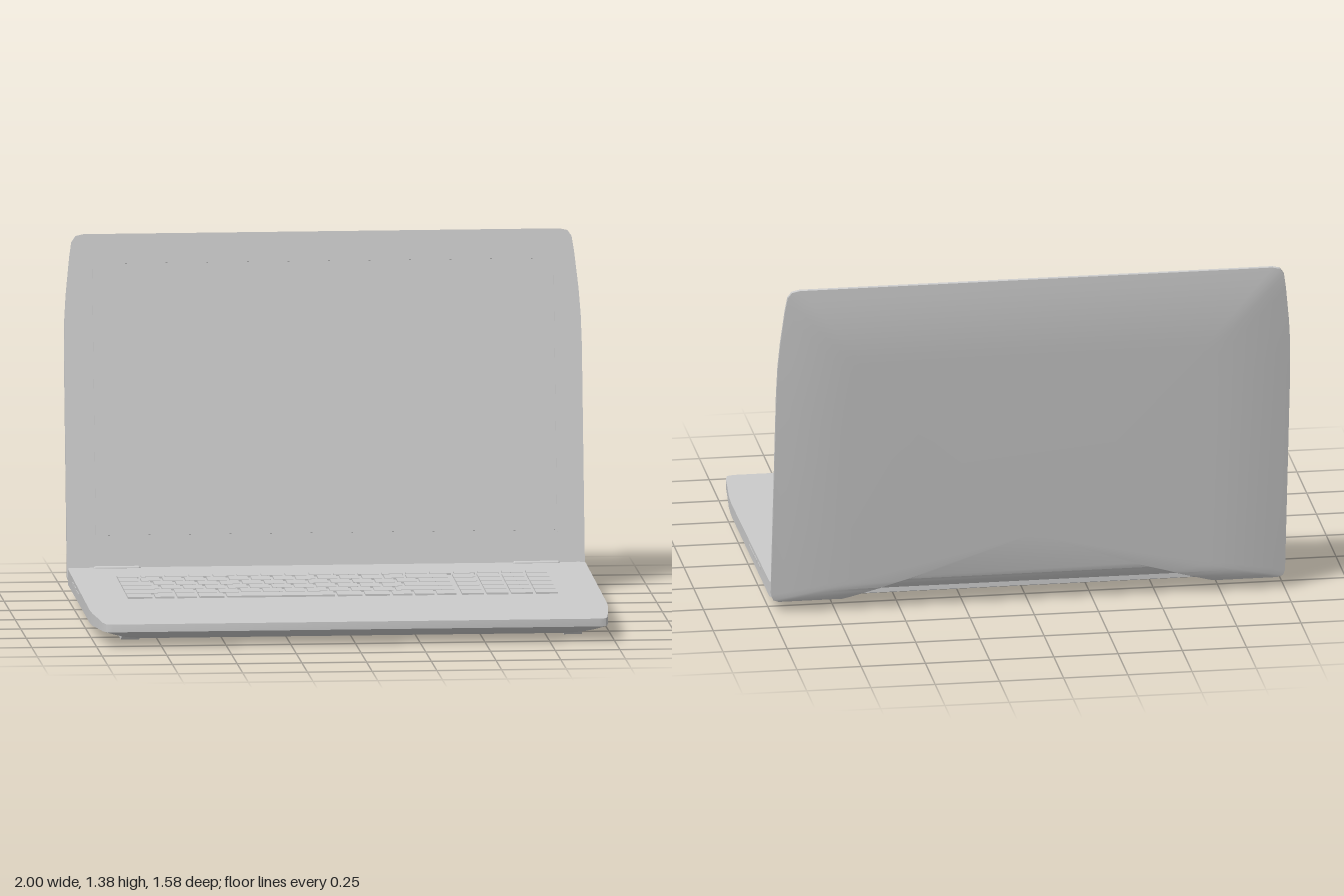
import * as THREE from 'three';
import { toCreasedNormals } from 'three/addons/utils/BufferGeometryUtils.js';

const material = new THREE.MeshStandardMaterial({ color: 0xcccccc });

function addMesh(parent, name, geometry, x = 0, y = 0, z = 0) {
  const mesh = new THREE.Mesh(geometry, material);
  mesh.name = name;
  mesh.position.set(x, y, z);
  parent.add(mesh);
  return mesh;
}

// Completes a right-hand half outline (bottom to top) with its mirror image
const mirrorOutline = (half) => [...half, ...half.map(([x, y]) => [-x, y]).reverse()];

// Skins a stack of rings along +z; the ends are closed with fans when asked
function loft(rings, centreY, capStart, capEnd) {
  const n = rings[0].length;
  const points = rings.flat(2);
  const index = [];
  for (let r = 0; r < rings.length - 1; r++) {
    for (let i = 0; i < n; i++) {
      const a = r * n + i, b = r * n + (i + 1) % n;
      index.push(a, b, b + n, a, b + n, a + n);
    }
  }
  const cap = (r, flip) => {
    const ring = rings[r], apex = points.length / 3;
    const z = ring.reduce((sum, p) => sum + p[2], 0) / n;
    points.push(0, centreY, z);
    for (let i = 0; i < n; i++) {
      const a = r * n + i, b = r * n + (i + 1) % n;
      index.push(apex, flip ? b : a, flip ? a : b);
    }
  };
  if (capStart) cap(0, true);
  if (capEnd) cap(rings.length - 1, false);
  const geometry = new THREE.BufferGeometry();
  geometry.setAttribute('position', new THREE.Float32BufferAttribute(points, 3));
  geometry.setIndex(index);
  return toCreasedNormals(geometry, 0.5);
}

const scaleRing = (outline, k, cy, depth) => outline.map(([x, y]) => {
  const sy = cy + (y - cy) * k;
  return [x * k, sy, depth(sy)];
});

const deckY = (z) => 0.106 - 0.02 * z;

// Lower body: flat sloping deck, thin side band, bulging underside
function buildBase(parent) {
  const outline = mirrorOutline([[0.94, -0.785], [0.965, -0.775], [0.975, -0.74], [0.985, -0.63],
    [0.996, -0.52], [1, -0.43], [1, 0.54], [0.995, 0.555], [0.975, 0.56]]);
  const edge = (z) => 0.048 + 0.012 * Math.max(0, (z - 0.5) / 0.285) + 0.008 * Math.max(0, -z / 0.56);
  const belly = (z) => 0.014 + (0.5 - z) * 0.016;
  const rings = [0.78, 0.83, 0.88, 0.92, 0.96, 1].map((k) => {
    const f = 1 - Math.pow(1 - (1 - k) / 0.22, 1.8);
    return scaleRing(outline, k, 0.1, (y) => THREE.MathUtils.lerp(edge(-y), belly(-y), f));
  });
  // The deck is a plane, so its fan apex must lie on that plane
  const top = outline.map(([x, y]) => [x, y, deckY(-y)]);
  const mean = top.reduce((s, p) => s + p[1], 0) / top.length;
  rings.push(top);
  addMesh(parent, 'base', loft(rings, mean, true, true).rotateX(-Math.PI / 2));

  // Long tapered feet
  const profiles = {
    frontFoot: [[0.34, 0.03], [0.37, 0], [0.57, 0], [0.6, 0.03]],
    rearFoot: [[-0.42, 0.04], [-0.37, 0], [-0.22, 0], [-0.13, 0.04]],
  };
  for (const [name, profile] of Object.entries(profiles)) {
    for (const side of [-1, 1]) {
      const shape = new THREE.Shape(profile.map((p) => new THREE.Vector2(...p)));
      const foot = new THREE.ExtrudeGeometry(shape, { depth: 0.07, bevelEnabled: false });
      addMesh(parent, name, foot.rotateY(-Math.PI / 2), side * 0.855 + 0.035);
    }
  }

  // Side ports and hinges
  for (const side of [-1, 1]) {
    for (const [z, length, height] of [[-0.09, 0.12, 0.012], [-0.2, 0.06, 0.015], [-0.29, 0.06, 0.012]]) {
      addMesh(parent, 'port', new THREE.BoxGeometry(0.01, height, length), side * 0.997, 0.083 - z * 0.03, z);
    }
    const cover = new THREE.CapsuleGeometry(0.008, 0.165, 4, 10).rotateZ(Math.PI / 2);
    addMesh(parent, 'hingeCover', cover, side * 0.81, 0.117, -0.545);
    addMesh(parent, 'hinge', new THREE.BoxGeometry(0.11, 0.035, 0.03), side * 0.67, 0.096, -0.566);
  }
}

// Keyboard: main block and number pad, laid on the sloping deck
function buildKeyboard(parent) {
  const keyboard = new THREE.Group();
  keyboard.name = 'keyboard';
  keyboard.position.y = 0.106;
  keyboard.rotation.x = Math.atan(0.02);
  parent.add(keyboard);

  const gap = 0.012;
  const ones = (count) => Array(count).fill(1);
  const addRow = (widths, x0, x1, z0, z1) => {
    const unit = (x1 - x0) / widths.reduce((a, b) => a + b, 0);
    let x = x0;
    for (const w of widths) {
      const key = new THREE.BoxGeometry(w * unit - gap, 0.011, z1 - z0 - gap);
      addMesh(keyboard, 'key', key, x + w * unit / 2, 0.0015, (z0 + z1) / 2);
      x += w * unit;
    }
  };
  addRow(ones(18), -0.836, 0.836, -0.346, -0.284);
  const mainRows = [
    [...ones(13), 2],
    [1.5, ...ones(12), 1.5],
    [1.75, ...ones(11), 2.25],
    [2.25, ...ones(10), 2.75],
    [1.25, 1, 1, 1.25, 5, 1.25, 1.25, 1, 1, 1],
  ];
  const pitch = 0.095;
  mainRows.forEach((widths, i) => {
    const z = -0.284 + i * pitch;
    addRow(widths, -0.836, 0.445, z, z + pitch);
    addRow(ones(4), 0.455, 0.836, z, z + pitch);
  });
}

// Lid: curved back shell, flat bezel and an inset screen behind a fine groove
function buildLid(parent) {
  const lid = new THREE.Group();
  lid.name = 'lid';
  lid.position.set(0, 0.05, -0.565);
  lid.rotation.x = -0.16;
  parent.add(lid);

  const outline = mirrorOutline([[0.58, 0.04], [0.72, 0], [0.97, 0], [0.992, 0.008], [1, 0.03], [1, 0.9],
    [0.997, 1.02], [0.99, 1.12], [0.975, 1.26], [0.966, 1.32], [0.95, 1.343], [0.92, 1.35]]);
  const rings = [0.7, 0.75, 0.8, 0.85, 0.9, 0.95, 1].map((k) => {
    const f = 1 - Math.pow(1 - (1 - k) / 0.3, 2);
    return scaleRing(outline, k, 0.25, (v) => -THREE.MathUtils.lerp(0.022 - 0.01 * v / 1.35, 0.042, f));
  });
  rings.push(outline.map(([x, y]) => [x, y, -0.006]));
  addMesh(lid, 'lidShell', loft(rings, 0.25, true, false));

  const halfWidth = 0.895, bottom = 0.182, top = 1.236;
  const bezel = new THREE.Shape(outline.map((p) => new THREE.Vector2(...p)));
  bezel.holes.push(new THREE.Path([[-halfWidth, bottom], [-halfWidth, top], [halfWidth, top], [halfWidth, bottom]]
    .map((p) => new THREE.Vector2(...p))));
  addMesh(lid, 'bezel', new THREE.ExtrudeGeometry(bezel, { depth: 0.006, bevelEnabled: false }), 0, 0, -0.006);

  const width = halfWidth * 2, height = top - bottom, middle = (top + bottom) / 2;
  addMesh(lid, 'screenGroove', new THREE.PlaneGeometry(width, height), 0, middle, -0.0059);
  addMesh(lid, 'screen', new THREE.BoxGeometry(width - 0.016, height - 0.016, 0.006), 0, middle, -0.003);
}

export function createModel() {
  const model = new THREE.Group();
  model.name = 'laptop';
  buildBase(model);
  buildKeyboard(model);
  buildLid(model);
  return model;
}
